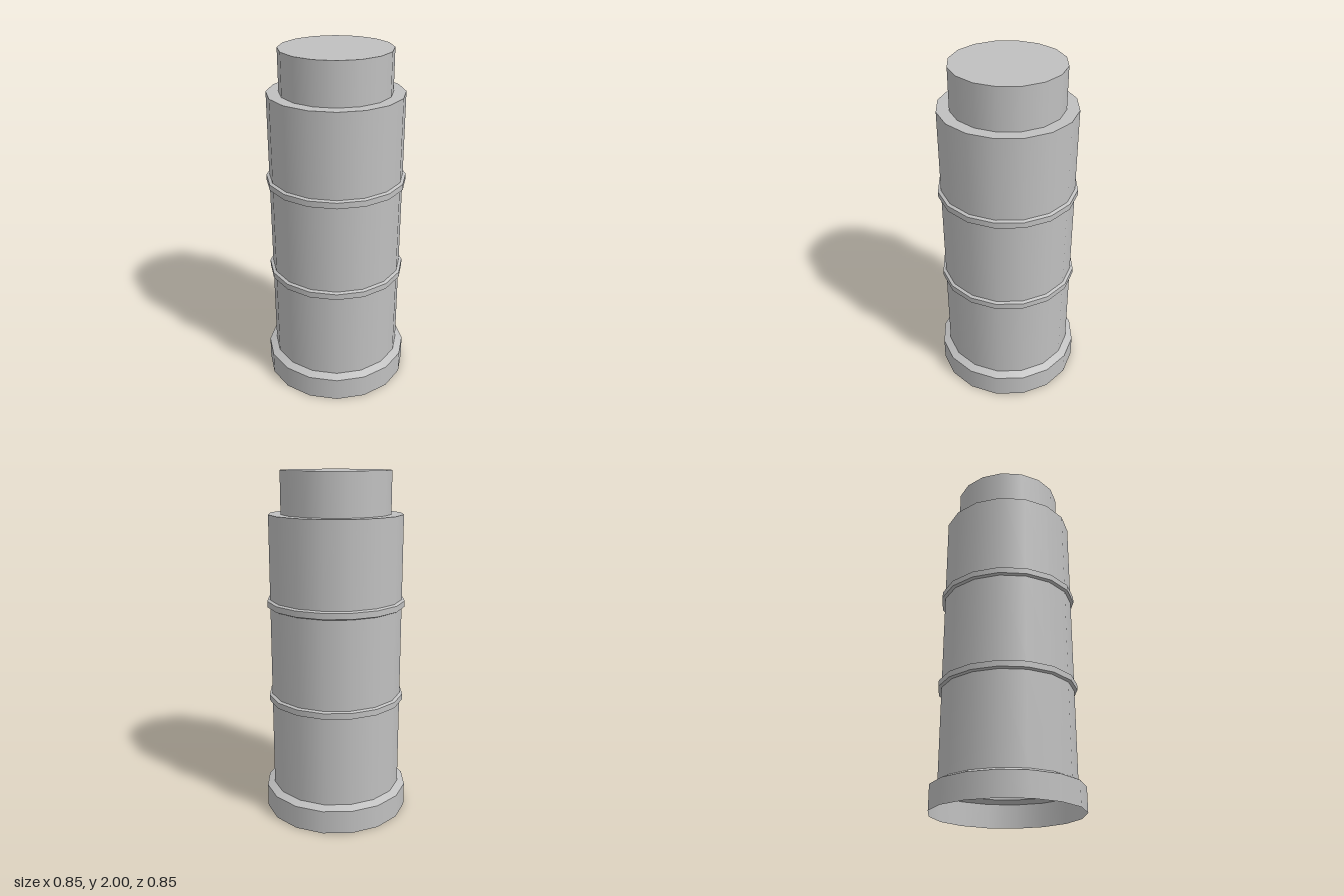
import * as THREE from 'three';
import { mergeGeometries } from 'three/addons/utils/BufferGeometryUtils.js';

const SIDES = 16;

// One band per profile step: smooth around, sharp between bands
function turned(name, profile, material) {
  const bands = [];
  for (let i = 0; i < profile.length - 1; i++) {
    const pair = [profile[i], profile[i + 1]].map(([r, y]) => new THREE.Vector2(r, y));
    bands.push(new THREE.LatheGeometry(pair, SIDES));
  }
  const mesh = new THREE.Mesh(mergeGeometries(bands), material);
  mesh.name = name;
  return mesh;
}

export function createModel() {
  const grey = new THREE.MeshStandardMaterial({ color: 0xc0c0c0, side: THREE.DoubleSide });
  grey.name = 'light grey';
  const model = new THREE.Group();
  model.name = 'ribbedCanister';

  // Open-bottomed foot with a bevelled shoulder
  model.add(turned('foot', [[0.424, 0], [0.424, 0.137], [0.381, 0.157]], grey));

  // Body wall sections, separated by the two raised ribs
  const ribs = [0.702, 1.263];
  const edges = [0.157, ...ribs.flatMap((y) => [y - 0.024, y + 0.024]), 1.763];
  for (let i = 0; i < edges.length; i += 2) {
    model.add(turned('bodySection', [[0.381, edges[i]], [0.381, edges[i + 1]]], grey));
  }
  for (const y of ribs) {
    model.add(turned('rib', [
      [0.381, y - 0.024], [0.398, y - 0.017], [0.398, y + 0.017], [0.381, y + 0.024],
    ], grey));
  }

  // Shoulder ledge and narrower neck
  model.add(turned('neck', [[0.381, 1.763], [0.312, 1.763], [0.312, 2]], grey));

  // Flat lid closing the neck
  const lid = new THREE.Mesh(new THREE.CircleGeometry(0.312, SIDES).rotateX(-Math.PI / 2), grey);
  lid.position.y = 2;
  lid.name = 'lid';
  model.add(lid);

  return model;
}
